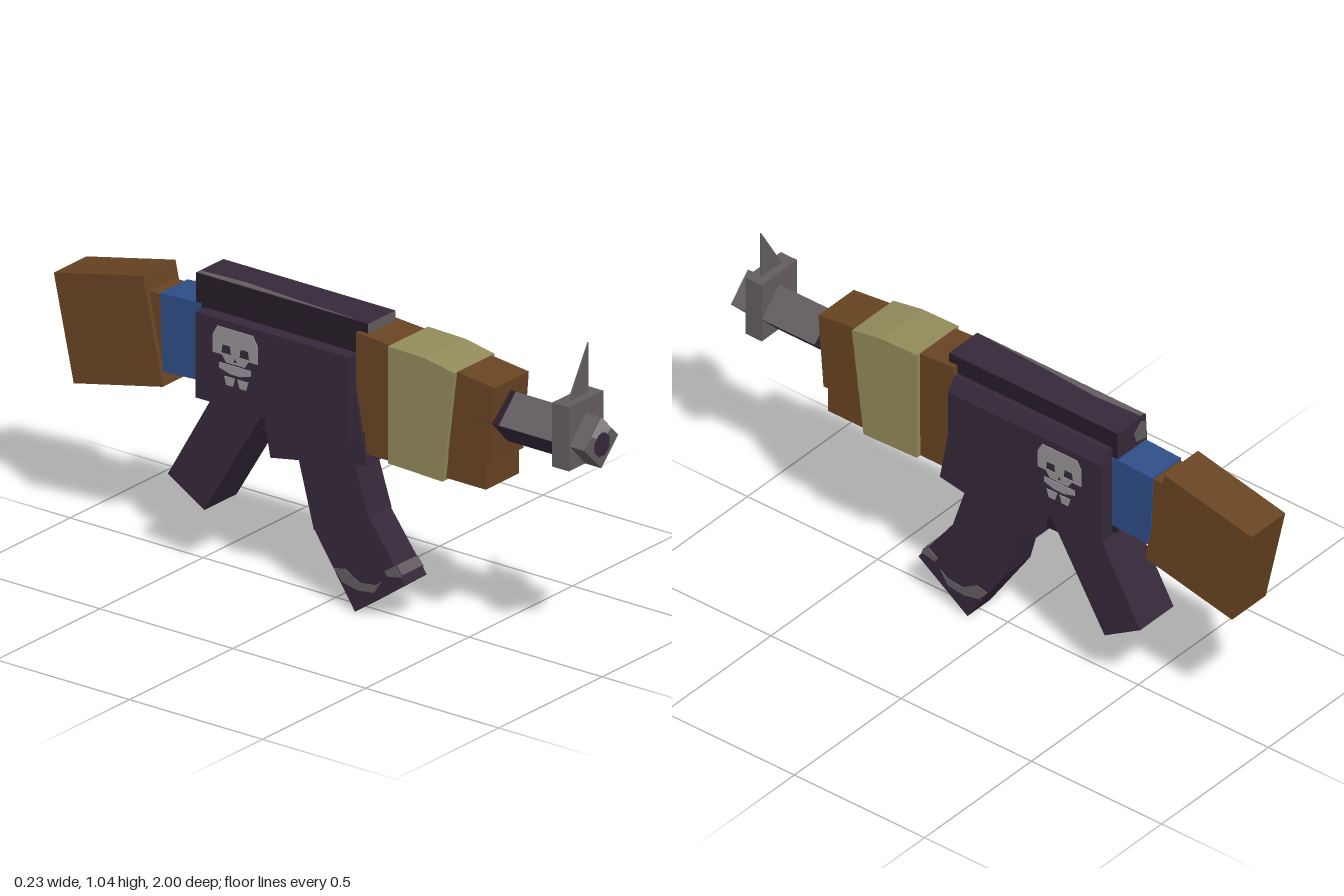
import * as THREE from 'three';

const mat = (name, color) => {
  const m = new THREE.MeshStandardMaterial({ color });
  m.name = name;
  return m;
};

export function createModel() {
  const root = new THREE.Group();
  root.name = 'toyRifle';
  const dark = mat('darkPurple', 0x35283a);
  const black = mat('nearBlack', 0x261c28);
  const brown = mat('brownWood', 0x684422);
  const tan = mat('tanWrap', 0x928b5a);
  const blue = mat('blueWrap', 0x2f4e88);
  const grey = mat('greyMetal', 0x635d61);
  const pale = mat('paleGrey', 0x989498);

  const add = (name, geo, material, parent = root) => {
    const mesh = new THREE.Mesh(geo, material);
    mesh.name = name;
    parent.add(mesh);
    return mesh;
  };
  const poly = (pts) => new THREE.Shape(pts.map(([a, b]) => new THREE.Vector2(a, b)));
  const extrude = (shape, depth) =>
    new THREE.ExtrudeGeometry(shape, { depth, bevelEnabled: false, curveSegments: 4 });
  // Side outline in (z, y), given thickness from x0 to x1
  const side = (shape, x0, x1) =>
    extrude(shape, x1 - x0).rotateY(-Math.PI / 2).translate(x1, 0, 0);
  const slab = (name, pts, half, material) => add(name, side(poly(pts), -half, half), material);
  // Front outline in (x, y), given thickness from z0 to z1
  const front = (name, pts, z0, z1, material) =>
    add(name, extrude(poly(pts), z1 - z0).translate(0, 0, z0), material);
  const box = (name, x0, x1, y0, y1, z0, z1, material) =>
    add(name, new THREE.BoxGeometry(x1 - x0, y1 - y0, z1 - z0)
      .translate((x0 + x1) / 2, (y0 + y1) / 2, (z0 + z1) / 2), material);
  // The same thin painted shape on both sides
  const paintSides = (name, shape, x, material) => {
    add(name + 'Left', side(shape, x, x + 0.003), material);
    add(name + 'Right', side(shape, -x - 0.003, -x), material);
  };

  // Barrel: square tube standing on its edge, darker underneath
  const by = 0.752, br = 0.082;
  front('barrel', [[0, by - br], [br, by], [0, by + br], [-br, by]], 0.6, 0.997, grey);
  front('barrelUnderside',
    [[0, by - br - 0.002], [br + 0.002, by], [-br - 0.002, by]], 0.6, 0.877, dark);
  front('barrelRootStain',
    [[0, by + br + 0.001], [-br - 0.001, by], [br + 0.001, by]], 0.6, 0.675, black);
  front('muzzleShine',
    [[0, 0.832], [-0.047, 0.785], [-0.024, 0.772], [0, 0.79], [0.024, 0.772], [0.047, 0.785]],
    0.996, 0.999, pale);
  add('muzzleHole', new THREE.CircleGeometry(0.039, 8).rotateZ(Math.PI / 8)
    .translate(0, 0.746, 1), dark);

  // Front sight block with its pointed blade
  box('sightBlock', -0.083, 0.083, 0.672, 0.878, 0.877, 0.94, grey);
  front('sightBlade', [[-0.05, 0.87], [0.05, 0.87], [0.05, 1.037]], 0.906, 0.911, grey);

  // Wooden handguard and the cloth wrapped around it
  slab('handguardUpper',
    [[0.66, 0.868], [0.64, 0.617], [0.14, 0.6], [0.14, 0.915], [0.41, 0.897]], 0.083, brown);
  slab('handguardLower', [[0.625, 0.63], [0.625, 0.532], [0.17, 0.532], [0.17, 0.63]], 0.08, brown);
  slab('handguardWrap',
    [[0.52, 0.885], [0.475, 0.525], [0.27, 0.532], [0.27, 0.908], [0.41, 0.905]], 0.097, tan);

  // Receiver: ridge, cover plates and tilted magazine well
  box('receiverRidge', -0.066, 0.066, 0.58, 0.945, -0.475, 0.172,
    [black, black, dark, black, grey, dark]);
  box('coverPlateRight', -0.112, -0.05, 0.567, 0.842, -0.442, 0.138, dark);
  front('coverPlateLeft',
    [[0.05, 0.567], [0.112, 0.567], [0.112, 0.842], [0.084, 0.885], [0.05, 0.885]],
    -0.455, 0.138, dark);
  slab('magazineWell', [[0.185, 0.5], [-0.175, 0.435], [-0.23, 0.735], [0.13, 0.8]], 0.093, dark);

  // Worn paint along the ridge
  const wear = [[-0.062, -0.12], [-0.052, 0.1], [-0.038, 0.3], [-0.048, 0.47], [-0.064, 0.47]];
  add('ridgeWear', extrude(poly(wear), 0.002).rotateX(-Math.PI / 2).translate(0, 0.945, 0), grey);
  front('ridgeRearWear',
    [[-0.066, 0.86], [-0.02, 0.87], [-0.01, 0.9], [-0.045, 0.93], [-0.066, 0.92]],
    -0.478, -0.475, grey);

  // Painted skull on each cover plate
  const skull = poly([[-0.225, 0.82], [-0.358, 0.82], [-0.375, 0.79], [-0.375, 0.732],
    [-0.34, 0.732], [-0.325, 0.71], [-0.255, 0.71], [-0.24, 0.732], [-0.207, 0.732],
    [-0.207, 0.79]]);
  const hole = (pts) => skull.holes.push(new THREE.Path(pts.map(([a, b]) => new THREE.Vector2(a, b))));
  for (const z of [-0.257, -0.325])
    hole([[z - 0.019, 0.737], [z + 0.019, 0.737], [z + 0.015, 0.765], [z - 0.015, 0.765]]);
  hole([[-0.298, 0.715], [-0.284, 0.715], [-0.291, 0.733]]);
  paintSides('skull', skull, 0.112, pale);
  paintSides('skullJaw',
    poly([[-0.232, 0.705], [-0.35, 0.705], [-0.35, 0.688], [-0.31, 0.676], [-0.272, 0.676],
      [-0.232, 0.688]]), 0.112, pale);
  for (const [i, z] of [-0.262, -0.312].entries())
    paintSides('skullTooth' + i,
      poly([[z + 0.02, 0.665], [z - 0.02, 0.665], [z - 0.012, 0.638], [z + 0.012, 0.638]]),
      0.112, pale);

  // Curved magazine in two straight sections, with a worn band near its foot
  slab('magazineUpper', [[0.085, 0.56], [0.165, 0.315], [-0.04, 0.225], [-0.125, 0.54]], 0.056, dark);
  slab('magazineLower', [[0.165, 0.315], [0.3, 0.133], [0.112, 0], [-0.04, 0.225]], 0.053, dark);
  paintSides('magazineWear',
    poly([[0.288, 0.155], [0.262, 0.185], [0.225, 0.16], [0.235, 0.145]]), 0.053, grey);
  paintSides('magazineWearBand',
    poly([[0.215, 0.125], [0.19, 0.105], [0.13, 0.098], [0.075, 0.13], [0.035, 0.12],
      [0.065, 0.085], [0.125, 0.072], [0.185, 0.08]]), 0.053, grey);
  slab('magazineFrontWear',
    [[0.284, 0.158], [0.288, 0.161], [0.268, 0.188], [0.264, 0.185]], 0.05, grey);

  // Trigger guard, trigger and pistol grip
  box('triggerGuard', -0.04, 0.04, 0.455, 0.492, -0.32, -0.15, black);
  slab('trigger', [[-0.2, 0.58], [-0.195, 0.52], [-0.21, 0.52], [-0.225, 0.58]], 0.012, black);
  slab('grip', [[-0.19, 0.6], [-0.435, 0.195], [-0.572, 0.277], [-0.385, 0.6]], 0.078, dark);

  // Stock neck, its blue wrap and the butt
  slab('stockNeck', [[-0.42, 0.835], [-0.42, 0.615], [-0.66, 0.61], [-0.68, 0.84]], 0.062, brown);
  slab('stockWrap', [[-0.455, 0.852], [-0.44, 0.603], [-0.6, 0.595], [-0.61, 0.845]], 0.067, blue);
  slab('stockButt', [[-0.665, 0.89], [-0.59, 0.552], [-0.925, 0.478], [-1, 0.815]], 0.079, brown);

  return root;
}
